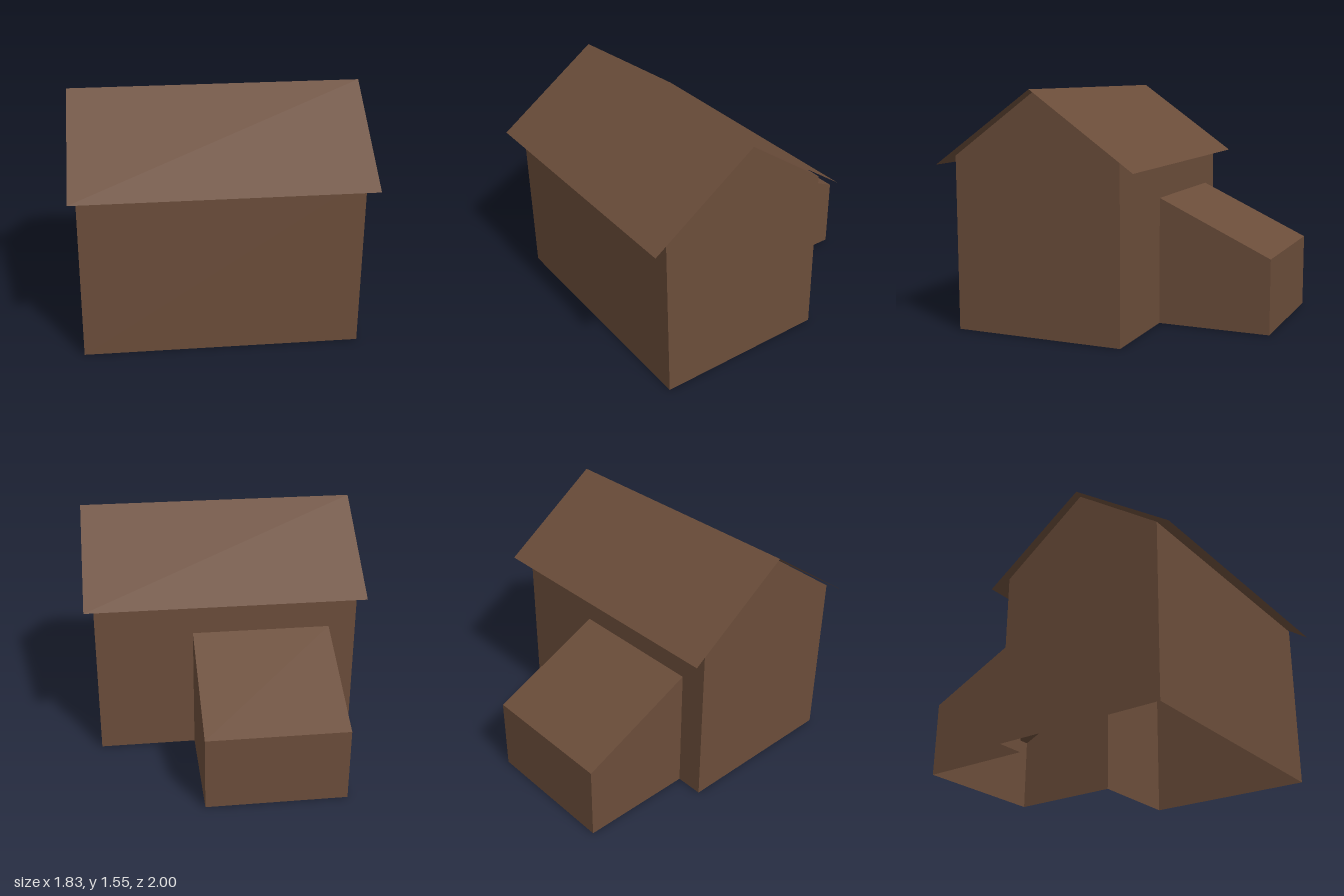
import * as THREE from 'three';

const timber = new THREE.MeshStandardMaterial({ color: 0x6b4d3a, side: THREE.DoubleSide });
timber.name = 'brown timber';

// Main house
const L = -0.87, R = 0.855, FRONT = 0.89, BACK = -0.25, EAVE = 1.13, APEX = 1.54, RIDGE_Z = 0.32;
// Overhanging roof sheet
const ROOF_X = 0.913, ROOF_FRONT = 1, ROOF_BACK = -0.36, ROOF_EAVE = 1.073, ROOF_RIDGE = 1.553;
// Lean-to at the back
const SL = -0.69, SR = 0.217, S_BACK = -1, S_HIGH = 0.84, S_LOW = 0.49;

// Flat convex panel from corners listed counter-clockwise as seen from outside
function panel(name, ...corners) {
  const index = [];
  for (let i = 1; i < corners.length - 1; i++) index.push(0, i, i + 1);
  const indexed = new THREE.BufferGeometry();
  indexed.setAttribute('position', new THREE.Float32BufferAttribute(corners.flat(), 3));
  indexed.setIndex(index);
  const geometry = indexed.toNonIndexed();
  geometry.computeVertexNormals();
  const mesh = new THREE.Mesh(geometry, timber);
  mesh.name = name;
  return mesh;
}

// Side wall at a given x, from a [z, y] outline running counter-clockwise as seen from +x
function sideWall(name, x, outline) {
  const corners = outline.map(([z, y]) => [x, y, z]);
  return panel(name, ...(x > 0 ? corners : corners.reverse()));
}

// Two slopes meeting at a ridge
function gableRoof(name, x0, x1, front, back, eave, ridge) {
  const group = new THREE.Group();
  group.name = name;
  group.add(
    panel('frontSlope', [x0, eave, front], [x1, eave, front], [x1, ridge, RIDGE_Z], [x0, ridge, RIDGE_Z]),
    panel('backSlope', [x1, eave, back], [x0, eave, back], [x0, ridge, RIDGE_Z], [x1, ridge, RIDGE_Z]),
  );
  return group;
}

export function createModel() {
  const house = new THREE.Group();
  house.name = 'house';

  // Main walls, open underneath
  const walls = new THREE.Group();
  walls.name = 'mainWalls';
  const gable = [[FRONT, 0], [BACK, 0], [BACK, EAVE], [RIDGE_Z, APEX], [FRONT, EAVE]];
  walls.add(
    panel('frontWall', [L, 0, FRONT], [R, 0, FRONT], [R, EAVE, FRONT], [L, EAVE, FRONT]),
    sideWall('leftGable', R, gable),
    sideWall('rightGable', L, gable),
  );

  // Back wall, notched where it opens into the lean-to
  const outline = [[-R, 0], [-SR, 0], [-SR, S_HIGH], [-SL, S_HIGH], [-SL, 0], [-L, 0], [-L, EAVE], [-R, EAVE]];
  const backShape = new THREE.Shape(outline.map(([x, y]) => new THREE.Vector2(x, y)));
  const backWall = new THREE.Mesh(new THREE.ShapeGeometry(backShape), timber);
  backWall.name = 'backWall';
  backWall.rotation.y = Math.PI;
  backWall.position.z = BACK;
  walls.add(backWall);

  // Lean-to with a single slope
  const leanTo = new THREE.Group();
  leanTo.name = 'leanTo';
  const side = [[BACK, 0], [S_BACK, 0], [S_BACK, S_LOW], [BACK, S_HIGH]];
  leanTo.add(
    panel('leanToBackWall', [SR, 0, S_BACK], [SL, 0, S_BACK], [SL, S_LOW, S_BACK], [SR, S_LOW, S_BACK]),
    sideWall('leanToLeftWall', SR, side),
    sideWall('leanToRightWall', SL, side),
    panel('leanToRoof', [SR, S_LOW, S_BACK], [SL, S_LOW, S_BACK], [SL, S_HIGH, BACK], [SR, S_HIGH, BACK]),
  );

  house.add(
    walls,
    leanTo,
    gableRoof('roofDeck', L, R, FRONT, BACK, EAVE, APEX),
    gableRoof('overhangingRoof', -ROOF_X, ROOF_X, ROOF_FRONT, ROOF_BACK, ROOF_EAVE, ROOF_RIDGE),
  );
  return house;
}
